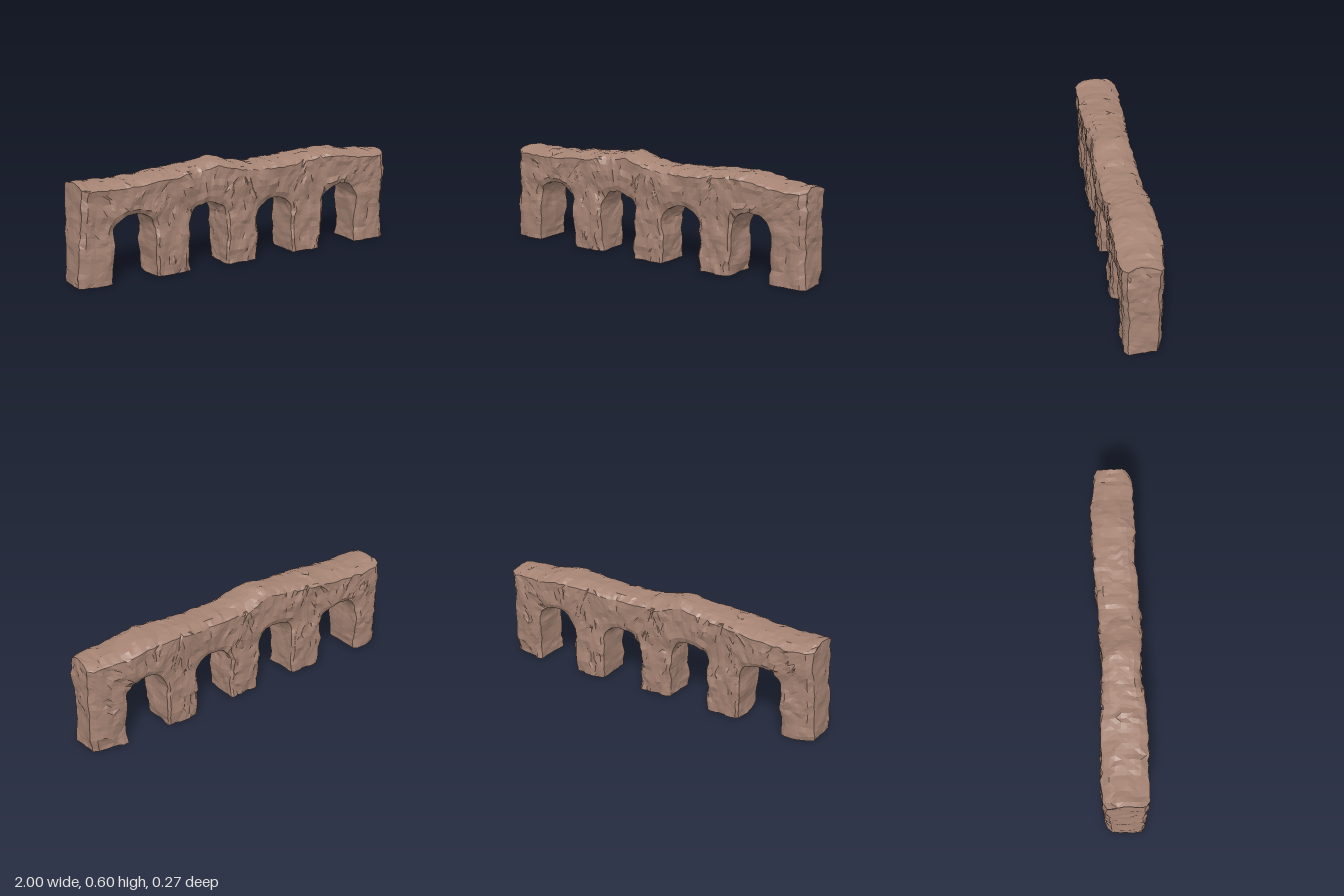
import * as THREE from 'three';

// Piecewise-linear profile through [x, value] pairs
function profile(pts) {
  return (x) => {
    if (x <= pts[0][0]) return pts[0][1];
    for (let i = 1; i < pts.length; i++) {
      const [x0, v0] = pts[i - 1], [x1, v1] = pts[i];
      if (x <= x1) return v0 + (v1 - v0) * (x - x0) / (x1 - x0);
    }
    return pts[pts.length - 1][1];
  };
}

// Seeded value noise in -1..1
function hash(i, j, k) {
  let h = (Math.imul(i, 374761393) + Math.imul(j, 668265263) + Math.imul(k, 2147483647)) | 0;
  h = Math.imul(h ^ (h >>> 13), 1274126177);
  h = Math.imul(h ^ (h >>> 16), 1911520717);
  return ((h ^ (h >>> 15)) >>> 0) / 2147483648 - 1;
}
function noise(x, y, z) {
  const i = Math.floor(x), j = Math.floor(y), k = Math.floor(z);
  const f = (t) => t * t * (3 - 2 * t);
  const u = f(x - i), v = f(y - j), w = f(z - k);
  const mix = THREE.MathUtils.lerp;
  const row = (b, c) => mix(hash(i, j + b, k + c), hash(i + 1, j + b, k + c), u);
  return mix(mix(row(0, 0), row(1, 0), v), mix(row(0, 1), row(1, 1), v), w);
}

// Crest line, front and back faces along the length, and thickness by height
const crest = profile([[-1, .537], [-.9, .535], [-.8, .53], [-.6, .54], [-.5, .555], [-.3, .568], [-.2, .583],
  [-.15, .592], [-.1, .578], [0, .55], [.1, .54], [.3, .543], [.45, .557], [.6, .563], [.7, .553], [.8, .532], [1, .525]]);
const front = profile([[-1, .1], [-.95, .115], [-.7, .127], [-.4, .127], [-.3, .113], [0, .122], [.1, .124],
  [.4, .107], [.6, .117], [.9, .111], [.96, .108], [1, .098]]);
const back = profile([[-1, .095], [-.95, .122], [-.85, .132], [-.7, .123], [-.5, .113], [-.2, .098], [.1, .102],
  [.4, .117], [.75, .122], [.9, .104], [.96, .095], [1, .08]]);
const thickness = profile([[0, .91], [.1, .93], [.2, .97], [.3, .93], [.37, .98], [.45, 1.03], [.53, 1], [.6, .95]]);

const JAMB = 9, ARC = 40, RADIAL = 7, DEPTH = 7, SPRING = .24;
const STEPS = JAMB * 2 + ARC;

// Rough the rock; depends on position only, so neighbouring spans stay joined
function weather(x, y, z) {
  const amt = Math.min(1, y / .04);
  const dx = .009 * noise(x * 11 + 40, y * 13, z * 11) + .006 * noise(x * 34, y * 34 + 7, z * 34);
  const dy = .005 * noise(x * 9, y * 9 + 31, z * 9) + .007 * noise(x * 32 + 9, y * 32, z * 24);
  const side = THREE.MathUtils.clamp(z / .09, -1, 1);
  const dz = side * (.009 * noise(x * 9, y * 11, side * 3 + 20) + .008 * noise(x * 38 + 3, y * 24, side * 5 + 9));
  return [THREE.MathUtils.clamp(x + dx, -1, 1), Math.max(0, y + dy * amt), z + dz];
}

// One span: cross-section loops swept from the left foot, over the opening, to the right foot
function makeSpan({ left, right, x0, x1, crown }) {
  const mid = (x0 + x1) / 2, half = (x1 - x0) / 2;
  const leftEnd = left < -.9, rightEnd = right > .9;
  const outerX = (x, y) => (x === left && leftEnd ? x + .03 * y / .54 : x);

  // Inner (opening) and outer (pier centre, crest) points for each step
  function rails(s) {
    if (s <= JAMB || s >= JAMB + ARC) {
      const onLeft = s <= JAMB;
      const y = SPRING * (onLeft ? s : STEPS - s) / JAMB;
      const ox = onLeft ? left : right;
      return [onLeft ? x0 : x1, y, outerX(ox, y), y];
    }
    const t = (s - JAMB) / ARC, a = Math.PI * (1 - t);
    const c = Math.cos(a), p = .85;
    const ix = mid + half * Math.sign(c) * Math.abs(c) ** p;
    const iy = SPRING + (crown - SPRING) * Math.sin(a) ** p;
    if (t < .25) {
      const y = SPRING + (crest(left) - SPRING) * t * 4;
      return [ix, iy, outerX(left, y), y];
    }
    if (t > .75) return [ix, iy, right, SPRING + (crest(right) - SPRING) * (1 - t) * 4];
    let ox = left + (right - left) * (t - .25) * 2;
    if (t === .25) ox = outerX(left, crest(left));
    return [ix, iy, ox, crest(ox)];
  }

  const topFrom = JAMB + ARC / 4, topTo = JAMB + ARC * 3 / 4;
  const onTop = (s) => s >= topFrom && s <= topTo;
  const rings = [];
  for (let s = 0; s <= STEPS; s++) {
    const [ix, iy, ox, oy] = rails(s);
    const exposed = onTop(s) || (s < topFrom ? leftEnd : rightEnd);
    const at = (r, d) => {
      const x = ix + (ox - ix) * r, y = iy + (oy - iy) * r;
      // Worn corners along the opening and the outer edges
      const worn = r === 0 ? .011 : r === 1 && exposed ? .012 : 0;
      const k = thickness(y), zf = front(x) * k - worn, zb = -back(x) * k + worn;
      // The crest is slightly domed across its depth
      const dome = r === 1 && onTop(s) ? -.022 * Math.abs(2 * d - 1) ** 3 + .004 : 0;
      return weather(x, y + dome, zf + (zb - zf) * d);
    };
    const ring = [];
    for (let i = 0; i < RADIAL; i++) ring.push(at(i / RADIAL, 0));
    for (let i = 0; i < DEPTH; i++) ring.push(at(1, i / DEPTH));
    for (let i = RADIAL; i > 0; i--) ring.push(at(i / RADIAL, 1));
    for (let i = DEPTH; i > 0; i--) ring.push(at(0, i / DEPTH));
    rings.push(ring);
  }

  const pos = [];
  const tri = (a, b, c) => pos.push(...a, ...b, ...c);
  const n = rings[0].length;
  for (let s = 0; s < STEPS; s++) {
    for (let k = 0; k < n; k++) {
      // Leave out the hidden joint between two spans
      const outer = k >= RADIAL && k < RADIAL + DEPTH;
      if (outer && ((s < topFrom && !leftEnd) || (s >= topTo && !rightEnd))) continue;
      const a = rings[s][k], b = rings[s + 1][k];
      const c = rings[s + 1][(k + 1) % n], d = rings[s][(k + 1) % n];
      if (hash(s, k, 5) > 0) { tri(a, b, c); tri(a, c, d); }
      else { tri(a, b, d); tri(b, c, d); }
    }
  }
  // Flat feet
  for (const [ring, flip] of [[rings[0], false], [rings[STEPS], true]]) {
    const c = [0, 1, 2].map((i) => ring.reduce((sum, p) => sum + p[i], 0) / n);
    for (let k = 0; k < n; k++) {
      const a = ring[k], b = ring[(k + 1) % n];
      if (flip) tri(c, b, a); else tri(c, a, b);
    }
  }
  const geo = new THREE.BufferGeometry();
  geo.setAttribute('position', new THREE.Float32BufferAttribute(pos, 3));
  geo.computeVertexNormals();
  return geo;
}

export function createModel() {
  const group = new THREE.Group();
  group.name = 'rockArchBridge';
  const rock = new THREE.MeshStandardMaterial({ color: 0xa58373, flatShading: true });
  const spans = [
    { left: -.995, right: -.445, x0: -.8, x1: -.545, crown: .362 },
    { left: -.445, right: 0, x0: -.34, x1: -.103, crown: .366 },
    { left: 0, right: .435, x0: .093, x1: .335, crown: .337 },
    { left: .435, right: .99, x0: .533, x1: .785, crown: .362 },
  ];
  spans.forEach((span, i) => {
    const mesh = new THREE.Mesh(makeSpan(span), rock);
    mesh.name = `archSpan${i + 1}`;
    group.add(mesh);
  });
  return group;
}
